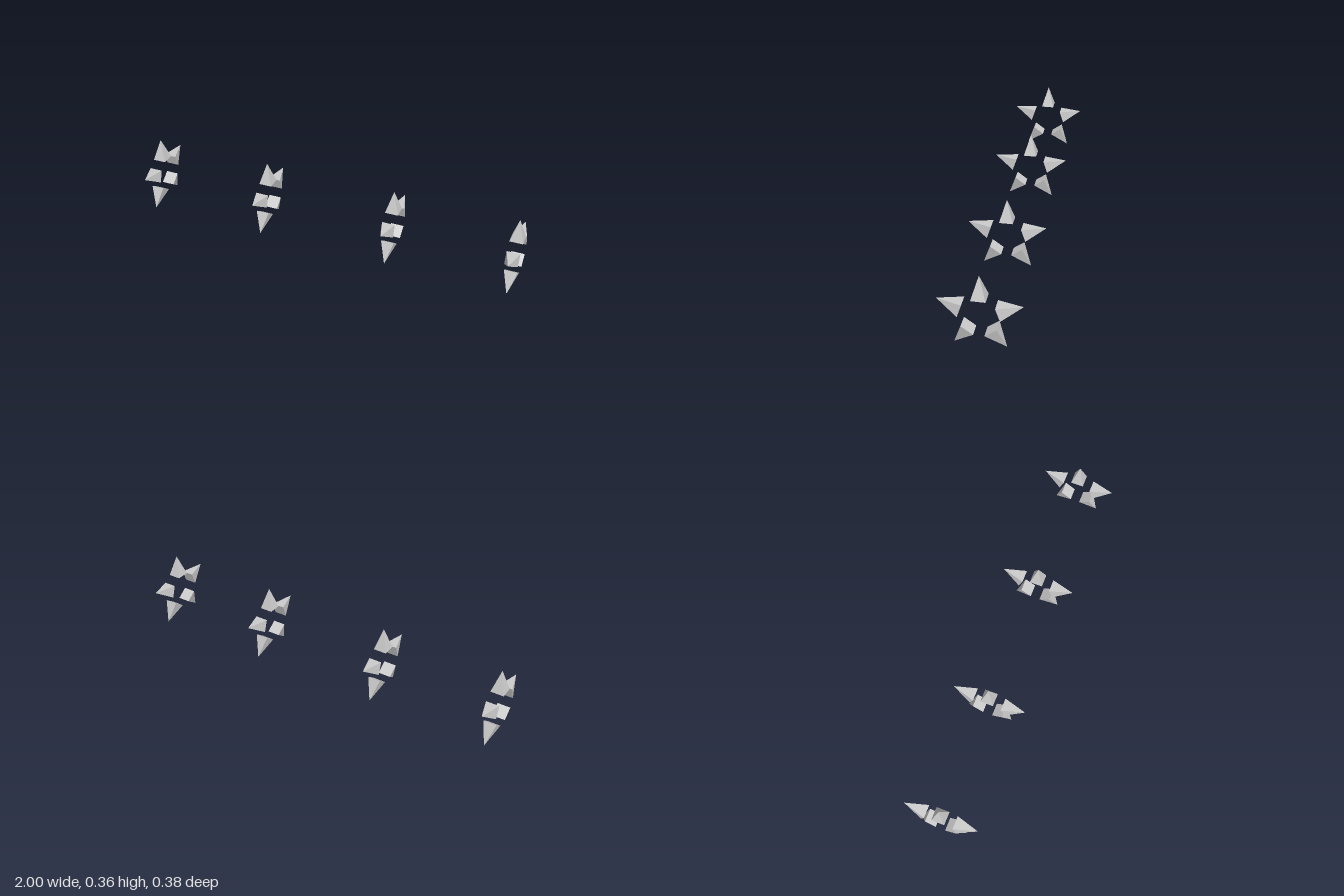
import * as THREE from 'three';

export function createModel() {
  const group = new THREE.Group();
  const material = new THREE.MeshStandardMaterial({ color: 0xcccccc, flatShading: true });

  const centerY = 0.162, tipRadius = 0.2, baseRadius = 0.088, halfWidth = 0.0333;
  const height = tipRadius - baseRadius;

  // Square pyramid pointing up, its base set off from the ring centre
  const spikeGeometry = new THREE.ConeGeometry(halfWidth * Math.SQRT2, height, 4);
  spikeGeometry.rotateY(Math.PI / 4);
  spikeGeometry.translate(0, baseRadius + height / 2, 0);

  // Four rings along x, each of five spikes pointing outward
  [-0.967, -0.343, 0.343, 0.967].forEach((x, r) => {
    const ring = new THREE.Group();
    ring.name = `spikeRing${r + 1}`;
    ring.position.set(x, centerY, 0);
    for (let i = 0; i < 5; i++) {
      const spike = new THREE.Mesh(spikeGeometry, material);
      spike.name = `spike${i + 1}`;
      spike.rotation.x = (i * Math.PI * 2) / 5;
      ring.add(spike);
    }
    group.add(ring);
  });
  return group;
}
